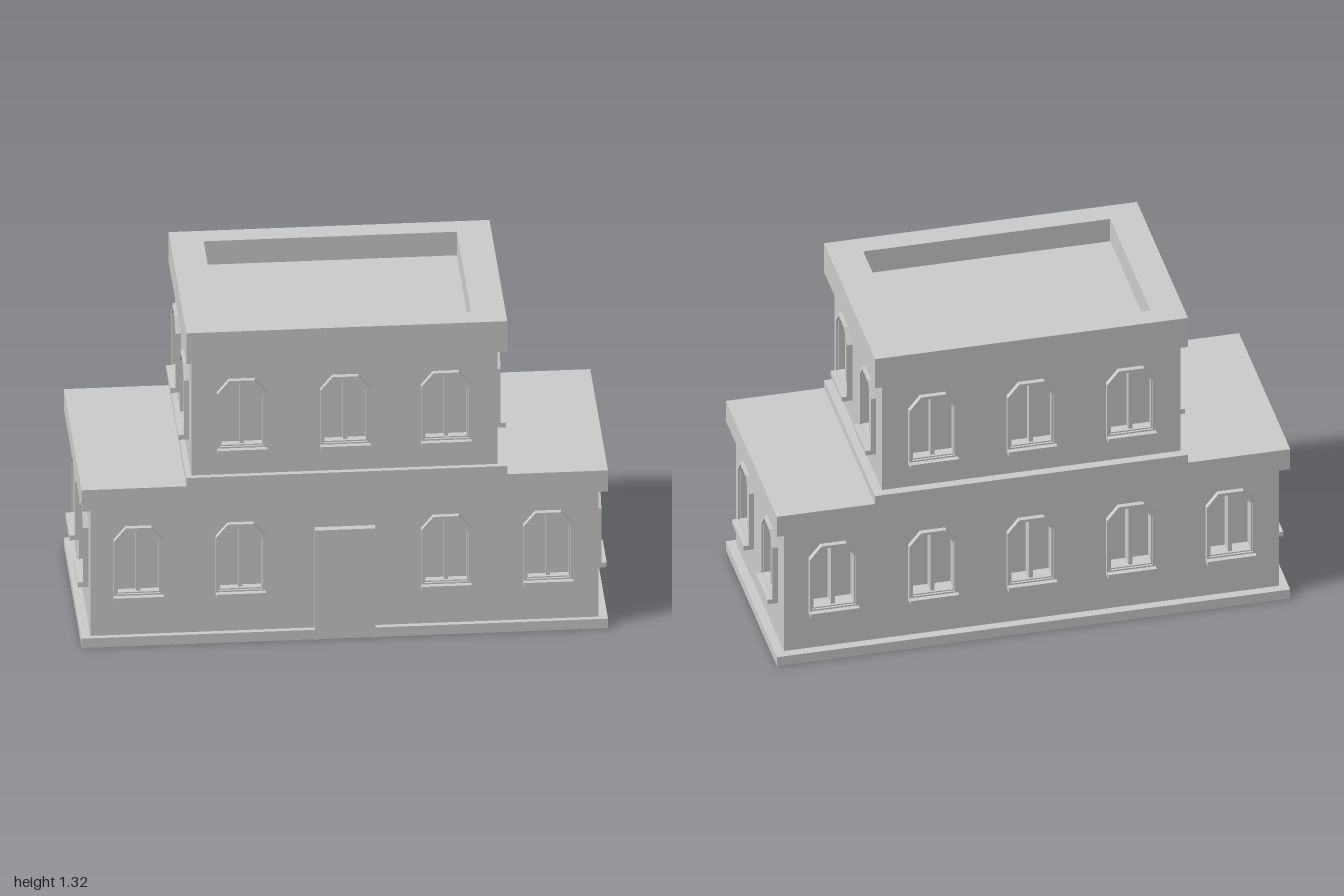
import * as THREE from 'three';

const material = new THREE.MeshStandardMaterial({ color: 0xcccccc, flatShading: true });

function addMesh(parent, name, geometry) {
  const mesh = new THREE.Mesh(geometry, material);
  mesh.name = name;
  parent.add(mesh);
  return mesh;
}

// box given by its limits on each axis
function addBox(parent, name, [x0, x1], [y0, y1], [z0, z1]) {
  const mesh = addMesh(parent, name, new THREE.BoxGeometry(x1 - x0, y1 - y0, z1 - z0));
  mesh.position.set((x0 + x1) / 2, (y0 + y1) / 2, (z0 + z1) / 2);
}

function rectangle(x0, x1, y0, y1) {
  return [[x0, y0], [x1, y0], [x1, y1], [x0, y1]].map(p => new THREE.Vector2(...p));
}

// window outline with chamfered top corners, shrunk by inset
function windowOutline(u, y, inset = 0) {
  const w = 0.094 - inset, t = 0.049 - inset * 0.45;
  const top = y + 0.305 - inset, shoulder = y + 0.25 - inset * 0.5, low = y + 0.015 + inset;
  return [[-w, low], [w, low], [w, shoulder], [t, top], [-t, top], [-w, shoulder]]
    .map(([a, b]) => new THREE.Vector2(u + a, b));
}

function extrude(outline, holes, depth) {
  const shape = new THREE.Shape(outline);
  shape.holes = holes.map(h => new THREE.Path(h));
  return new THREE.ExtrudeGeometry(shape, { depth, bevelEnabled: false });
}

function addWindow(wall, u, y, recess) {
  const win = new THREE.Group();
  win.name = 'window';
  wall.add(win);
  // stepped surround
  addMesh(win, 'outerFrame', extrude(windowOutline(u, y), [windowOutline(u, y, 0.011)], 0.02));
  const inner = addMesh(win, 'innerFrame',
    extrude(windowOutline(u, y, 0.009), [windowOutline(u, y, 0.016)], 0.024));
  inner.position.z = -0.012;
  // sill and central mullion
  addBox(win, 'sill', [u - 0.094, u + 0.094], [y, y + 0.02], [-0.005, 0.04]);
  addBox(win, 'mullion', [u - 0.008, u + 0.008], [y + 0.03, y + 0.292], [-recess - 0.005, 0.003]);
}

// wall facing local +z, with window openings
function addWall(parent, name, angle, x, z, [u0, u1], [y0, y1], windows, windowY, recess) {
  const wall = new THREE.Group();
  wall.name = name;
  wall.position.set(x, 0, z);
  wall.rotation.y = angle;
  parent.add(wall);
  const holes = windows.map(u => windowOutline(u, windowY, 0.013));
  addMesh(wall, 'wallPanel', extrude(rectangle(u0, u1, y0, y1), holes, recess))
    .position.z = -recess;
  windows.forEach(u => addWindow(wall, u, windowY, recess));
}

function addStorey(parent, name, [x0, x1], ySpan, windowY, frontWindows, backWindows, backRecess) {
  const storey = new THREE.Group();
  storey.name = name;
  parent.add(storey);
  const z0 = -0.38, z1 = 0.385, front = 0.022, side = 0.05;
  const sideWindows = [-0.19, 0.19];
  // solid core doubles as the window panes
  addBox(storey, 'core', [x0 + side, x1 - side], ySpan, [z0 + backRecess, z1 - front]);
  addWall(storey, 'frontWall', 0, 0, z1, [x0, x1], ySpan, frontWindows, windowY, front);
  addWall(storey, 'backWall', Math.PI, 0, z0, [-x1, -x0], ySpan,
    backWindows.map(x => -x), windowY, backRecess);
  addWall(storey, 'leftWall', Math.PI / 2, x1, 0, [front - z1, -z0 - backRecess], ySpan,
    sideWindows, windowY, side);
  addWall(storey, 'rightWall', -Math.PI / 2, x0, 0, [z0 + backRecess, z1 - front], ySpan,
    sideWindows, windowY, side);
}

export function createModel() {
  const building = new THREE.Group();
  building.name = 'building';
  const zSpan = [-0.415, 0.405], lowerX = [-0.995, 0.99], upperX = [-0.6, 0.61];

  // storeys
  addStorey(building, 'lowerStorey', [-0.96, 0.955], [0.04, 0.58], 0.195,
    [-0.78, -0.395, 0.38, 0.765], [-0.77, -0.385, 0, 0.38, 0.765], 0.05);
  addStorey(building, 'upperStorey', [-0.58, 0.575], [0.705, 1.19], 0.805,
    [-0.39, 0, 0.38], [-0.385, 0, 0.38], 0.03);

  // plinth, terrace slab and upper base band
  addBox(building, 'plinth', lowerX, [0, 0.04], zSpan);
  addBox(building, 'terraceSlab', lowerX, [0.58, 0.67], zSpan);
  addBox(building, 'upperBand', upperX, [0.67, 0.705], zSpan);

  // roof slab with parapet around a sunken deck
  addBox(building, 'roofDeck', upperX, [1.19, 1.22], zSpan);
  const parapet = addMesh(building, 'parapet', extrude(
    rectangle(...upperX, -zSpan[1], -zSpan[0]), [rectangle(-0.475, 0.48, -0.315, 0.33)], 0.1));
  parapet.rotation.x = -Math.PI / 2;
  parapet.position.y = 1.22;

  // front door with surround
  const door = new THREE.Group();
  door.name = 'door';
  building.add(door);
  addBox(door, 'doorPanel', [-0.1, 0.1], [0, 0.437], [0.37, 0.406]);
  const surround = [[-0.115, 0], [-0.1, 0], [-0.1, 0.435], [0.1, 0.435], [0.1, 0],
    [0.112, 0], [0.112, 0.465], [-0.115, 0.465]].map(p => new THREE.Vector2(...p));
  addMesh(door, 'doorFrame', extrude(surround, [], 0.032)).position.z = 0.38;

  return building;
}
